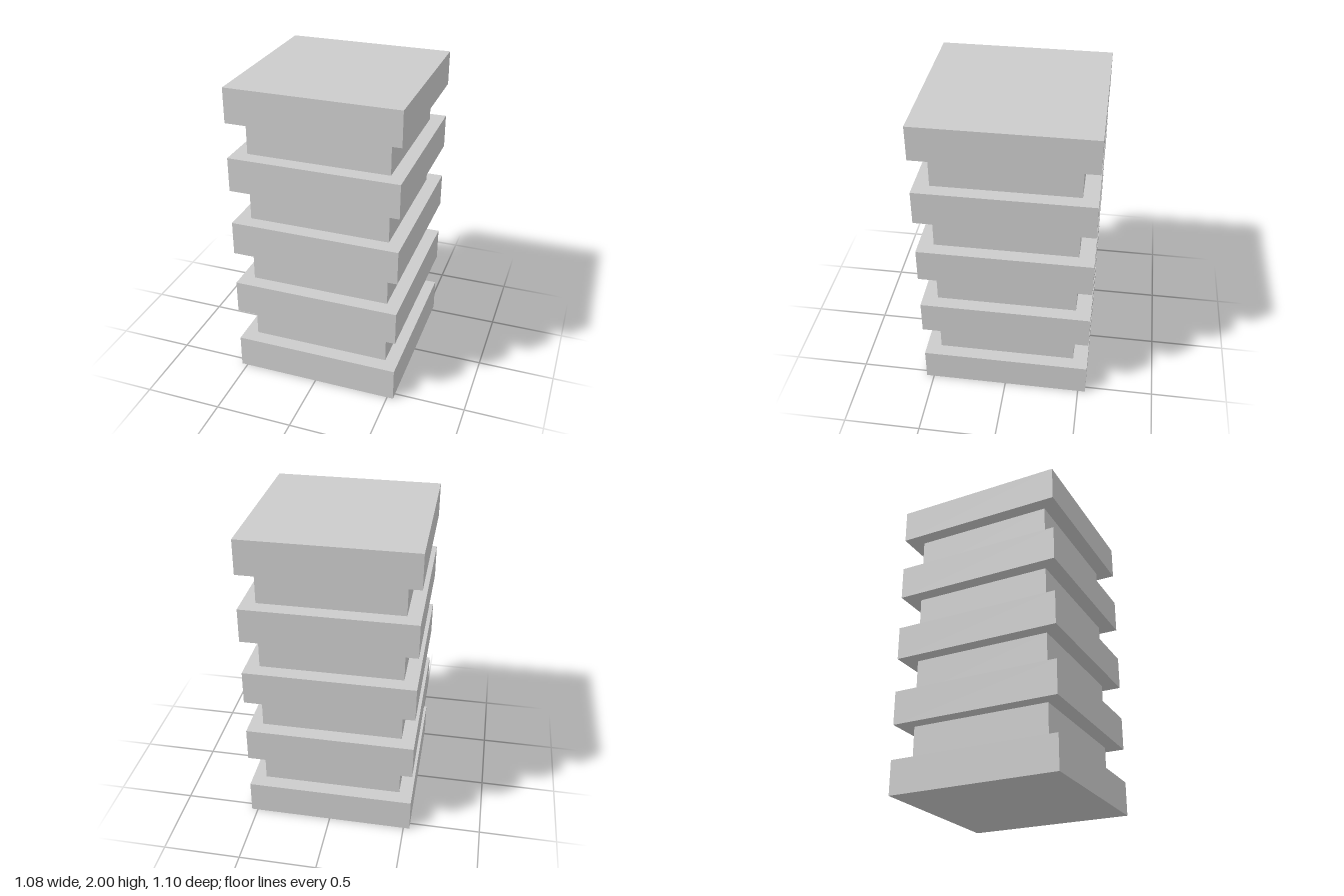
import * as THREE from 'three';

const SLABS = 5;
const SLAB_HEIGHT = 0.22;
const GAP = (2 - SLABS * SLAB_HEIGHT) / (SLABS - 1);

export function createModel() {
  const model = new THREE.Group();
  model.name = 'stackedTower';
  const material = new THREE.MeshStandardMaterial({ color: 0xcccccc });

  // Box standing on a given height
  function addBlock(name, width, height, depth, bottom) {
    const mesh = new THREE.Mesh(new THREE.BoxGeometry(width, height, depth), material);
    mesh.name = name;
    mesh.position.y = bottom + height / 2;
    model.add(mesh);
  }

  for (let i = 0; i < SLABS; i++) {
    const bottom = i * (SLAB_HEIGHT + GAP);
    // Wide floor slab
    addBlock(`floorSlab${i + 1}`, 1.08, SLAB_HEIGHT, 1.1, bottom);
    // Recessed storey between this slab and the next
    if (i < SLABS - 1) addBlock(`storey${i + 1}`, 0.906, GAP, 0.906, bottom + SLAB_HEIGHT);
  }
  return model;
}
